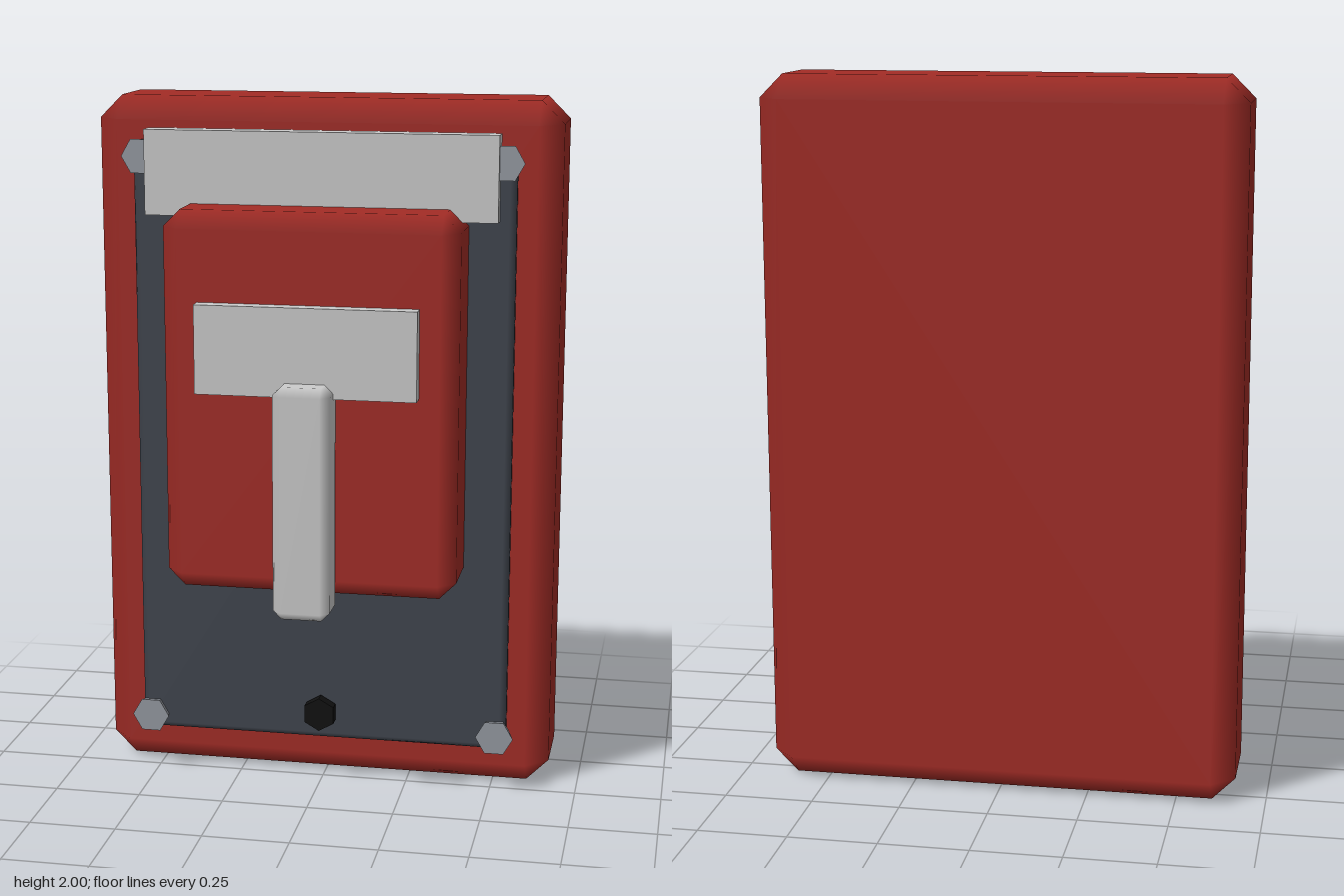
import * as THREE from 'three';
import { ConvexGeometry } from 'three/addons/geometries/ConvexGeometry.js';

const mat = (color, flatShading = false) => new THREE.MeshStandardMaterial({ color, flatShading });

// Box with one-step bevels; every corner keeps the normal of its flat face, so bevels shade softly.
function bevelBox(w, h, d, bevel) {
  const half = [w / 2, h / 2, d / 2];
  const points = [];
  for (let axis = 0; axis < 3; axis++)
    for (const sx of [-1, 1]) for (const sy of [-1, 1]) for (const sz of [-1, 1]) {
      const c = [sx, sy, sz].map((s, i) => s * (half[i] - (i === axis ? 0 : bevel)));
      points.push(new THREE.Vector3(...c));
    }
  const geo = new ConvexGeometry(points);
  const pos = geo.attributes.position, nor = geo.attributes.normal;
  for (let i = 0; i < pos.count; i++) {
    const p = [pos.getX(i), pos.getY(i), pos.getZ(i)];
    const n = p.map((v, k) => (Math.abs(Math.abs(v) - half[k]) < 1e-4 ? Math.sign(v) : 0));
    nor.setXYZ(i, ...n);
  }
  return geo;
}

export function createModel() {
  const model = new THREE.Group();
  model.name = 'wallSwitchBox';
  const red = mat(0xa32c26), dark = mat(0x40454e), grey = mat(0xcccccc);
  const steel = mat(0x959aa2, true), black = mat(0x101010, true);

  const add = (name, geo, material, x, y, z) => {
    const mesh = new THREE.Mesh(geo, material);
    mesh.name = name;
    mesh.position.set(x, y, z);
    model.add(mesh);
    return mesh;
  };
  // Places a box by its extents: half width, y range, z range
  const slab = (name, material, hw, y0, y1, z0, z1, bevel = 0) => {
    const size = [hw * 2, y1 - y0, z1 - z0];
    const geo = bevel ? bevelBox(...size, bevel) : new THREE.BoxGeometry(...size);
    return add(name, geo, material, 0, (y0 + y1) / 2, (z0 + z1) / 2);
  };

  // Housing, cover plate and raised panel
  slab('housing', red, 0.665, 0, 2, -0.348, -0.018, 0.065);
  slab('coverPlate', dark, 0.545, 0.125, 1.88, -0.03, 0.022, 0.018);
  slab('raisedPanel', red, 0.415, 0.63, 1.71, -0.05, 0.231, 0.048);

  // Label plates and handle
  slab('topLabelPlate', grey, 0.5, 1.675, 1.915, 0, 0.062);
  slab('panelLabelPlate', grey, 0.31, 1.21, 1.46, 0.2, 0.273);
  slab('handle', grey, 0.08, 0.59, 1.25, 0.215, 0.348, 0.024);

  // Tapered hexagonal corner bolts, points sideways
  const bolt = new THREE.CylinderGeometry(0.055, 0.037, 0.067, 6)
    .rotateY(Math.PI / 6).rotateX(Math.PI / 2);
  for (const x of [-0.515, 0.515])
    for (const y of [0.172, 1.838]) add('cornerBolt', bolt, steel, x, y, 0.0155);

  // Black hexagonal screw, point upwards
  const screw = new THREE.CylinderGeometry(0.05, 0.05, 0.034, 6).rotateX(Math.PI / 2);
  add('lockScrew', screw, black, 0, 0.215, 0.05);
  const shank = new THREE.CylinderGeometry(0.025, 0.025, 0.04, 6).rotateX(Math.PI / 2);
  add('lockScrewShank', shank, black, 0, 0.215, 0.02);

  return model;
}
